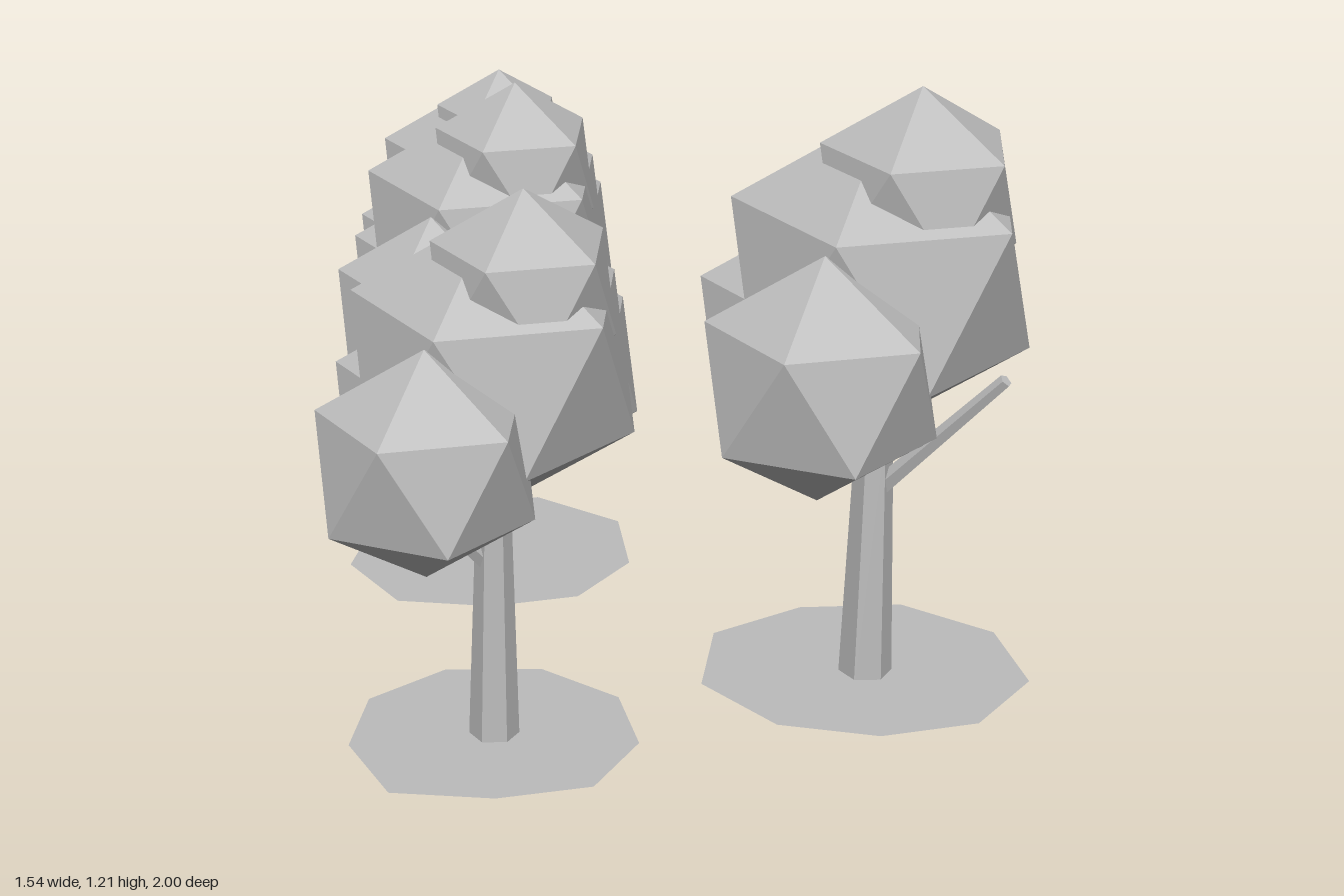
import * as THREE from 'three';

const grey = new THREE.MeshStandardMaterial({ color: 0xbcbcbc, flatShading: true, side: THREE.DoubleSide });
grey.name = 'pale grey';

function part(name, geometry, parent) {
  const mesh = new THREE.Mesh(geometry, grey);
  mesh.name = name;
  parent.add(mesh);
  return mesh;
}

// Icosahedron standing on a vertex, upper ring pointing to +x
const blobGeometry = new THREE.IcosahedronGeometry(1, 0);
blobGeometry.rotateZ(-Math.atan(2 / (1 + Math.sqrt(5))));

// Foliage of a full-size tree: name, centre, radius
const BLOBS = [
  ['mainFoliage', [0, 0.85, 0], 0.308],
  ['topFoliage', [0.035, 1.012, 0.055], 0.2],
  ['frontRightFoliage', [-0.233, 0.737, 0.145], 0.232],
  ['backLeftFoliage', [0.204, 0.75, -0.17], 0.225],
  ['backFoliage', [-0.04, 0.69, -0.246], 0.175],
];

// Position, scale, branch angles in degrees from +x to +z, ground patch radii
const TREES = [
  { x: 0.36, z: 0.66, s: 1, branches: [59, 299],
    patch: [0.31, 0.31, 0.29, 0.27, 0.29, 0.32, 0.32, 0.29, 0.3] },
  { x: -0.37, z: 0.51, s: 0.91, branches: [185, 300],
    patch: [0.27, 0.268, 0.273, 0.25, 0.295, 0.27, 0.27, 0.27, 0.27] },
  { x: 0.02, z: -0.17, s: 0.87, branches: [0, 180],
    patch: [0.31, 0.287, 0.27, 0.25, 0.29, 0.29, 0.28, 0.27, 0.3] },
  { x: 0.31, z: -0.71, s: 0.74, branches: [100, 260],
    patch: [0.235, 0.24, 0.21, 0.23, 0.24, 0.24, 0.24, 0.22, 0.225] },
];

// Tapered stick between two points
function branch(from, to, parent) {
  const dir = to.clone().sub(from);
  const mesh = part('branch', new THREE.CylinderGeometry(0.013, 0.019, dir.length(), 5), parent);
  mesh.position.copy(from).add(to).multiplyScalar(0.5);
  mesh.quaternion.setFromUnitVectors(new THREE.Vector3(0, 1, 0), dir.normalize());
}

function makeTree({ x, z, s, branches, patch }) {
  const tree = new THREE.Group();
  tree.name = 'tree';
  tree.position.set(x, 0, z);
  tree.scale.setScalar(s);

  part('trunk', new THREE.CylinderGeometry(0.035, 0.052, 0.54, 6), tree).position.y = 0.27;

  for (const degrees of branches) {
    const a = THREE.MathUtils.degToRad(degrees);
    branch(
      new THREE.Vector3(0, 0.41, 0),
      new THREE.Vector3(0.25 * Math.cos(a), 0.685, 0.25 * Math.sin(a)),
      tree
    );
  }

  for (const [name, centre, radius] of BLOBS) {
    const blob = part(name, blobGeometry, tree);
    blob.position.set(...centre);
    blob.scale.setScalar(radius);
  }

  // Flat uneven patch around the trunk, just above its foot
  const outline = patch.map((r, i) => {
    const a = (-i / patch.length) * Math.PI * 2;
    return new THREE.Vector2(Math.cos(a), Math.sin(a)).multiplyScalar(r / s);
  });
  const ground = part('groundPatch', new THREE.ShapeGeometry(new THREE.Shape(outline)), tree);
  ground.rotation.x = -Math.PI / 2;
  ground.position.y = 0.045;
  return tree;
}

export function createModel() {
  const model = new THREE.Group();
  model.name = 'treeGrove';
  for (const spec of TREES) model.add(makeTree(spec));
  return model;
}
